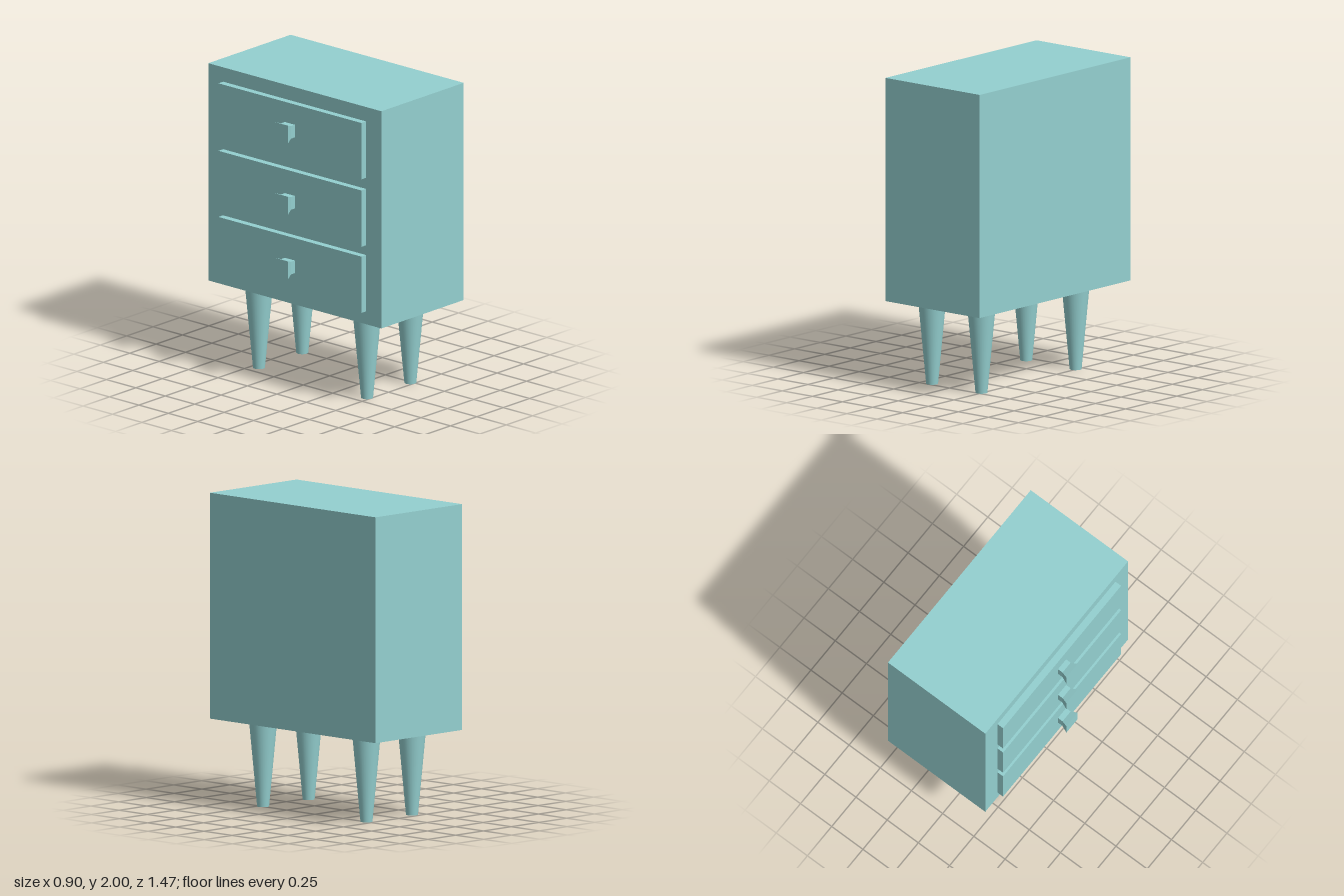
import * as THREE from 'three';

export function createModel() {
  const model = new THREE.Group();
  const teal = new THREE.MeshStandardMaterial({ color: 0x94d0d0 });
  const tealFlat = new THREE.MeshStandardMaterial({ color: 0x94d0d0, flatShading: true });

  const add = (parent, name, geometry, material, x, y, z) => {
    const mesh = new THREE.Mesh(geometry, material);
    mesh.name = name;
    mesh.position.set(x, y, z);
    parent.add(mesh);
  };

  // Cabinet body
  add(model, 'cabinet', new THREE.BoxGeometry(0.78, 1.445, 1.47), teal, 0.06, 1.2775, 0);

  // Square bar along x, its outer end (towards -x) and inner end given as half widths
  const squareBar = (outer, inner, length) =>
    new THREE.CylinderGeometry(outer * Math.SQRT2, inner * Math.SQRT2, length, 4)
      .rotateY(Math.PI / 4)
      .rotateZ(Math.PI / 2);

  // Drawers on the -x side: panel, square neck and flared knob
  const panel = new THREE.BoxGeometry(0.045, 0.375, 1.215);
  const neck = squareBar(0.042, 0.042, 0.036);
  const knob = squareBar(0.058, 0.042, 0.044);
  [[0.828, 0.825], [1.268, 1.255], [1.717, 1.728]].forEach(([panelY, knobY]) => {
    const drawer = new THREE.Group();
    drawer.name = 'drawer';
    add(drawer, 'drawerPanel', panel, teal, -0.3525, panelY, -0.002);
    add(drawer, 'knobNeck', neck, tealFlat, -0.393, knobY, -0.002);
    add(drawer, 'knobHead', knob, tealFlat, -0.433, knobY, -0.002);
    model.add(drawer);
  });

  // Tapered round legs
  const leg = new THREE.CylinderGeometry(0.09, 0.038, 0.555, 32);
  for (const x of [-0.17, 0.24]) {
    for (const z of [-0.448, 0.47]) add(model, 'leg', leg, teal, x, 0.2775, z);
  }

  return model;
}
